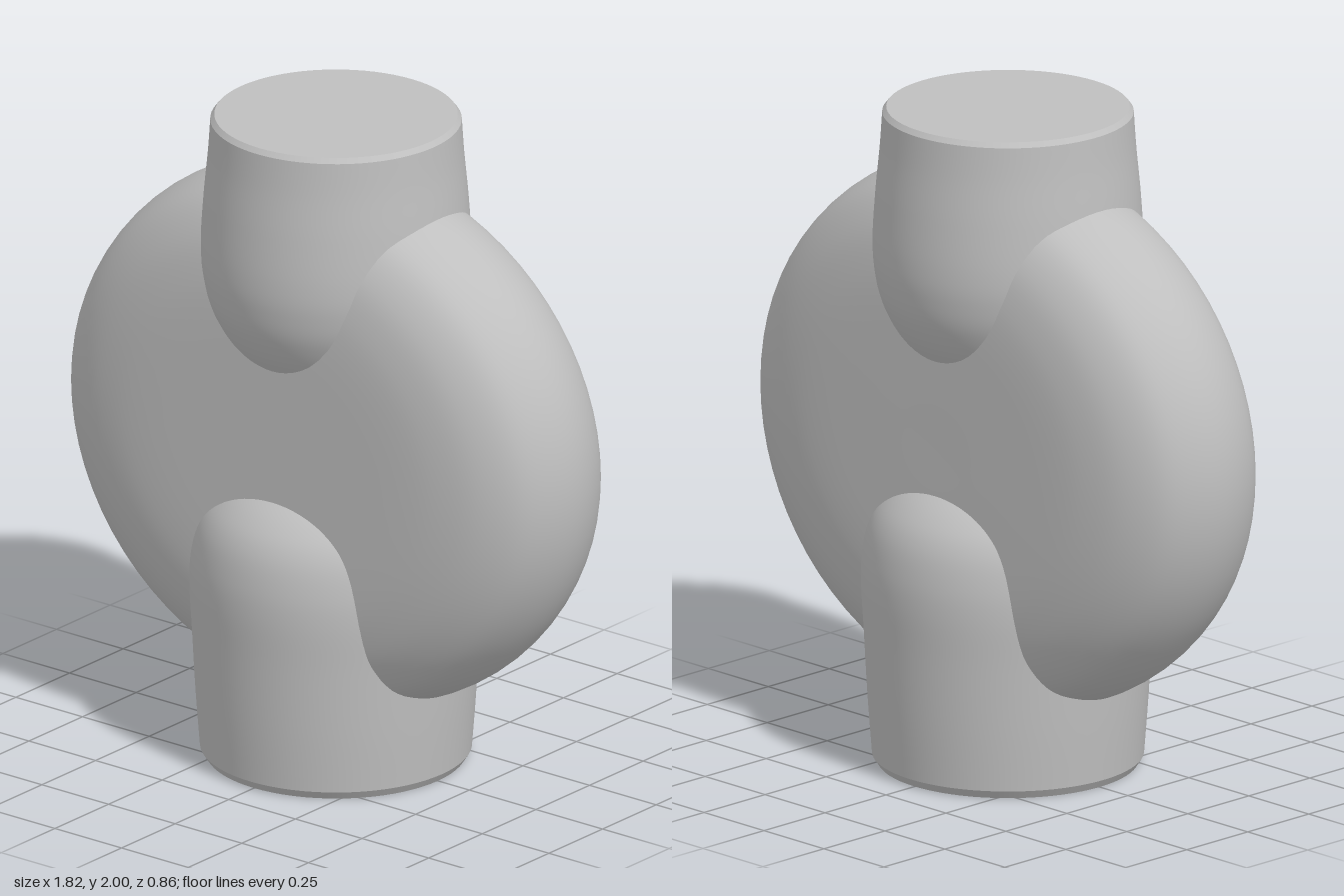
import * as THREE from 'three';

// Smooth surface of revolution around y; profile runs from bottom to top
function turned(name, profile, material, smooth = true) {
  let points = profile.map(([r, y]) => new THREE.Vector2(r, y));
  if (smooth) {
    points = new THREE.SplineCurve(points).getPoints(60);
    points.forEach((p) => { p.x = Math.max(p.x, 0); });
  }
  const mesh = new THREE.Mesh(new THREE.LatheGeometry(points, 72), material);
  mesh.name = name;
  return mesh;
}

export function createModel() {
  const group = new THREE.Group();
  group.name = 'discBody';
  const grey = new THREE.MeshStandardMaterial({ color: 0xbfbfbf });
  grey.name = 'plain grey';

  // Upright disc with flat faces and a fully rounded rim
  const half = [[0, 0.3], [0.25, 0.3], [0.48, 0.298], [0.62, 0.285], [0.74, 0.253], [0.84, 0.19], [0.893, 0.1]];
  const rim = [...half.map(([r, h]) => [r, -h]), [0.912, 0], ...half.slice().reverse()];
  const disc = turned('disc', rim, grey);
  disc.rotation.x = Math.PI / 2;
  disc.scale.set(1, 1, 0.906);
  disc.position.y = 1.015;
  group.add(disc);

  // Tapered neck with a rounded lower end sunk into the disc
  group.add(turned('neck', [
    [0, 1.12], [0.2, 1.18], [0.305, 1.29], [0.365, 1.4], [0.39, 1.5],
    [0.396, 1.6], [0.388, 1.74], [0.375, 1.88], [0.368, 1.985],
  ], grey));
  group.add(turned('neckBevel', [[0.368, 1.985], [0.356, 2]], grey, false));
  group.add(turned('neckTop', [[0.356, 2], [0, 2]], grey, false));

  // Tapered foot with a domed upper end sunk into the disc
  group.add(turned('footBottom', [[0, 0], [0.382, 0]], grey, false));
  group.add(turned('footBevel', [[0.382, 0], [0.398, 0.025]], grey, false));
  group.add(turned('foot', [
    [0.398, 0.025], [0.411, 0.2], [0.422, 0.4], [0.43, 0.55], [0.425, 0.65],
    [0.405, 0.74], [0.365, 0.81], [0.295, 0.875], [0.17, 0.95], [0, 0.98],
  ], grey));

  return group;
}
